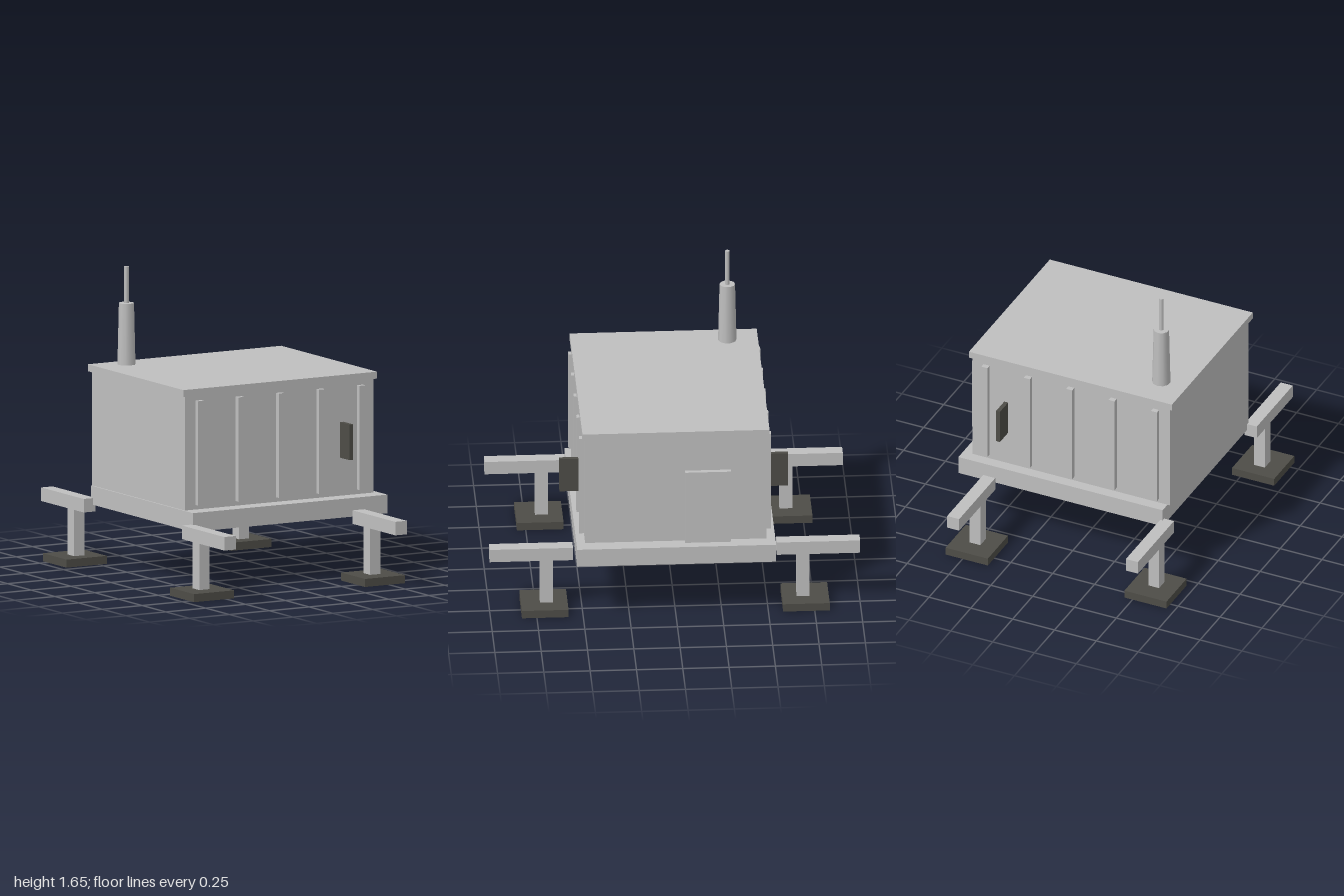
import * as THREE from 'three';

export function createModel() {
  const model = new THREE.Group();
  model.name = 'raisedCabin';

  const grey = new THREE.MeshStandardMaterial({ color: 0xbfbfbf });
  grey.name = 'light grey';
  const dark = new THREE.MeshStandardMaterial({ color: 0x4e4d47 });
  dark.name = 'dark grey';

  // Box given by its extents on each axis
  function box(name, [x0, x1], [y0, y1], [z0, z1], material = grey, parent = model) {
    const mesh = new THREE.Mesh(new THREE.BoxGeometry(x1 - x0, y1 - y0, z1 - z0), material);
    mesh.position.set((x0 + x1) / 2, (y0 + y1) / 2, (z0 + z1) / 2);
    mesh.name = name;
    parent.add(mesh);
    return mesh;
  }
  const around = (c, half) => [c - half, c + half];

  // Body
  box('basePlatform', [-0.555, 0.665], [0.335, 0.437], [-0.538, 0.536]);
  box('cabin', [-0.577, 0.605], [0.447, 1.07], [-0.49, 0.49]);
  box('roof', [-0.595, 0.618], [1.07, 1.108], [-0.505, 0.505]);
  box('doorPanel', [0.674, 0.7], [0.48, 0.903], [-0.292, -0.045]);

  // Wall ribs and dark side panels, front and back
  for (const side of [1, -1]) {
    for (let i = 0; i < 5; i++) {
      box('wallRib', around(-0.494 + i * 0.2533, 0.018), [0.472, 1.042], around(side * 0.503, 0.015));
    }
    box('sidePanel', [0.379, 0.402], [0.66, 0.854], around(side * 0.566, 0.051), dark);
  }

  // Outrigger legs: arm, post and foot pad
  for (const [x, z] of [[-0.577, 0.672], [0.475, 0.705]]) {
    for (const side of [1, -1]) {
      const leg = new THREE.Group();
      leg.name = 'leg';
      model.add(leg);
      box('arm', around(x, 0.036), [0.298, 0.372], around(side * (z + 0.07), 0.225), grey, leg);
      box('post', around(x, 0.032), [0.04, 0.3], around(side * (z - 0.012), 0.035), grey, leg);
      box('footPad', around(x, 0.126), [0, 0.044], around(side * z, 0.126), dark, leg);
    }
  }

  // Stepped mast above the roof
  function tube(name, rTop, rBottom, y0, y1, sides) {
    const mesh = new THREE.Mesh(new THREE.CylinderGeometry(rTop, rBottom, y1 - y0, sides), grey);
    mesh.position.set(-0.452, (y0 + y1) / 2, -0.338);
    mesh.name = name;
    model.add(mesh);
  }
  tube('mastBase', 0.042, 0.05, 1.12, 1.455, 10);
  tube('mastTip', 0.013, 0.013, 1.45, 1.655, 8);

  return model;
}
